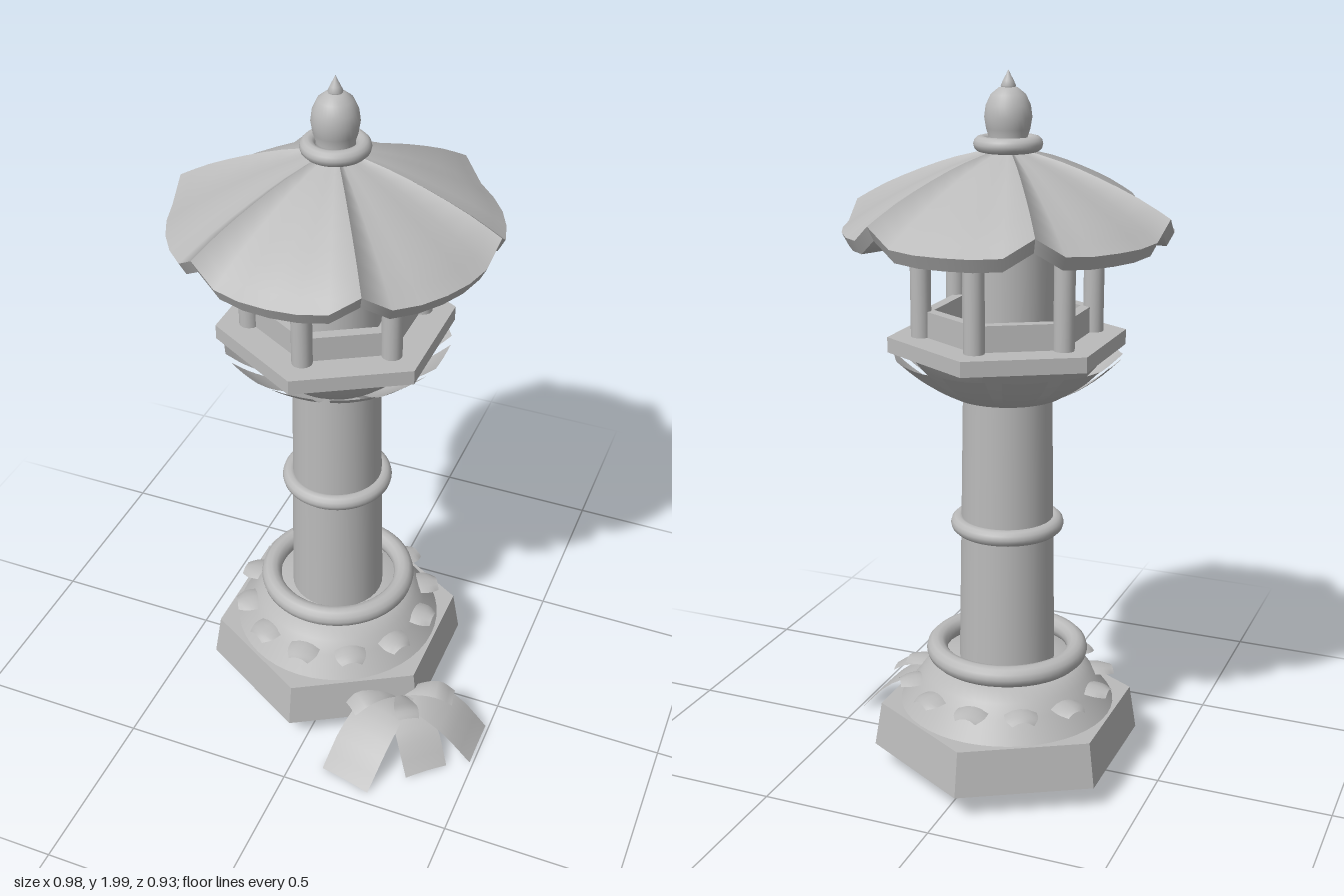
import * as THREE from 'three';
import { ParametricGeometry } from 'three/addons/geometries/ParametricGeometry.js';

const stone = new THREE.MeshStandardMaterial({ color: 0xbababa, side: THREE.DoubleSide });
stone.name = 'grey stone';

const v2 = (pts) => pts.map(([x, y]) => new THREE.Vector2(x, y));

function add(parent, name, geometry, x = 0, y = 0, z = 0) {
  const mesh = new THREE.Mesh(geometry, stone);
  mesh.name = name;
  mesh.position.set(x, y, z);
  parent.add(mesh);
  return mesh;
}

// Six-sided flat-faced prism with corners towards +z and -z
function hexPrism(parent, name, rTop, rBottom, y0, y1) {
  const geo = new THREE.CylinderGeometry(rTop, rBottom, y1 - y0, 6).toNonIndexed();
  geo.computeVertexNormals();
  return add(parent, name, geo, 0, (y0 + y1) / 2);
}

function ring(parent, name, outer, tube, y) {
  const geo = new THREE.TorusGeometry(outer - tube, tube, 12, 48).rotateX(Math.PI / 2);
  return add(parent, name, geo, 0, y);
}

// Thin blade running out along +x: path of [reach, height, half width], with a crosswise arch
function blade(path, arch) {
  const curve = new THREE.CatmullRomCurve3(path.map((p) => new THREE.Vector3(...p)));
  const p = new THREE.Vector3();
  return new ParametricGeometry((u, v, out) => {
    curve.getPoint(u, p);
    const s = 1 - 2 * v;
    out.set(p.x, p.y - arch * s * s, p.z * s);
  }, 8, 4);
}

// Roof: six smooth panels meeting at ridges, with small upturned corners
function addRoof(parent) {
  const roof = new THREE.Group();
  roof.name = 'roof';
  parent.add(roof);
  const ridge = new THREE.SplineCurve(v2([[0.447, 1.64], [0.36, 1.688], [0.25, 1.735], [0.15, 1.77], [0.05, 1.795]]));
  const place = (u, r, y, k, out) => {
    const t = Math.abs(2 * u - 1);
    const a = (k + u) * Math.PI / 3;
    const fall = 1 - t ** 6;
    const reach = r * (1 - 0.012 * fall);
    out.set(reach * Math.cos(a), y - 0.053 * (r / 0.447) * fall, -reach * Math.sin(a));
  };
  for (let k = 0; k < 6; k++) {
    add(roof, 'roofTop', new ParametricGeometry((u, v, out) => {
      const p = ridge.getPoint(v);
      place(u, p.x, p.y, k, out);
    }, 6, 8));
    add(roof, 'roofRim', new ParametricGeometry((u, v, out) => {
      place(u, 0.428 + 0.019 * v, 1.602 + 0.038 * v, k, out);
    }, 6, 1));
    // Shallow underside that the posts reach up to
    add(roof, 'roofUnderside', new ParametricGeometry((u, v, out) => {
      place(u, 0.01 + 0.418 * v, 1.58 + 0.022 * v, k, out);
    }, 6, 4));
  }
}

// Clump of curved leaves beside the base
function addPlant(parent) {
  const plant = new THREE.Group();
  plant.name = 'plant';
  plant.position.set(0.235, 0, 0.168);
  parent.add(plant);
  // Long drooping leaves: angle from +x towards +z, length, half width
  for (const [deg, len, w] of [[0, 0.255, 0.077], [47, 0.215, 0.065], [103, 0.285, 0.08], [218, 0.3, 0.07]]) {
    const leaf = add(plant, 'longLeaf', blade([
      [0, 0.135, 0.02], [len * 0.3, 0.145, w * 0.85], [len * 0.65, 0.105, w], [len, 0.015, w],
    ], 0.004));
    leaf.rotation.y = -deg * Math.PI / 180;
  }
  // Short leaves spreading above them
  for (let i = 0; i < 5; i++) {
    const leaf = add(plant, 'shortLeaf', blade([
      [0, 0.13, 0.01], [0.06, 0.165, 0.025], [0.12, 0.175 + 0.02 * (i % 2), 0.035], [0.165, 0.15 + 0.05 * (i % 2), 0.03],
    ], 0.004));
    leaf.rotation.y = (10 - i * 70) * Math.PI / 180;
  }
}

export function createModel() {
  const model = new THREE.Group();
  model.name = 'stoneLantern';
  const lantern = new THREE.Group();
  lantern.name = 'lantern';
  lantern.position.set(-0.043, 0, -0.028);
  model.add(lantern);

  // Base, mound and column
  hexPrism(lantern, 'base', 0.367, 0.388, 0.08, 0.21);
  add(lantern, 'mound', new THREE.LatheGeometry(
    v2([[0.312, 0.205], [0.29, 0.235], [0.265, 0.27], [0.24, 0.305], [0.205, 0.335], [0.13, 0.345]]), 48));
  ring(lantern, 'baseRing', 0.232, 0.03, 0.37);
  add(lantern, 'column', new THREE.CylinderGeometry(0.123, 0.137, 0.81, 32), 0, 0.735);
  ring(lantern, 'columnRing', 0.159, 0.023, 0.755);

  // Lotus petals around the mound and under the platform
  add(lantern, 'bowl', new THREE.LatheGeometry(
    v2([[0.1, 1.135], [0.158, 1.135], [0.2, 1.172], [0.24, 1.214], [0.275, 1.26]]), 48));
  for (let i = 0; i < 12; i++) {
    const a = i * Math.PI / 6;
    const low = add(lantern, 'basePetal', blade(
      [[0.2, 0.285, 0.035], [0.25, 0.293, 0.045], [0.285, 0.29, 0.045], [0.312, 0.284, 0.03]], 0.012));
    low.rotation.y = a;
    const high = add(lantern, 'bowlPetal', blade(
      [[0.16, 1.136, 0.033], [0.21, 1.163, 0.043], [0.262, 1.2, 0.053], [0.308, 1.242, 0.06]], -0.004));
    high.rotation.y = a;
  }

  // Lamp house: platform, round core, posts and low wall panels
  hexPrism(lantern, 'platform', 0.328, 0.328, 1.258, 1.3);
  add(lantern, 'lampCore', new THREE.CylinderGeometry(0.124, 0.124, 0.29, 32), 0, 1.435);
  for (let i = 0; i < 6; i++) {
    const a = i * Math.PI / 3;
    add(lantern, 'post', new THREE.CylinderGeometry(0.028, 0.028, 0.27, 16),
      0.236 * Math.sin(a), 1.425, 0.236 * Math.cos(a));
    const b = a + Math.PI / 6;
    const panel = add(lantern, 'wallPanel', new THREE.BoxGeometry(0.225, 0.072, 0.03),
      0.188 * Math.sin(b), 1.335, 0.188 * Math.cos(b));
    panel.rotation.y = b;
  }

  addRoof(lantern);

  // Finial
  ring(lantern, 'finialRing', 0.092, 0.021, 1.811);
  add(lantern, 'finialBulb', new THREE.LatheGeometry(
    v2([[0.001, 1.8], [0.055, 1.8], [0.05, 1.825], [0.058, 1.85], [0.063, 1.88], [0.059, 1.91], [0.046, 1.938], [0.025, 1.955], [0.001, 1.96]]), 32));
  add(lantern, 'finialTip', new THREE.LatheGeometry(
    v2([[0.001, 1.945], [0.016, 1.95], [0.02, 1.96], [0.014, 1.973], [0.006, 1.988], [0.0005, 2]]), 16));

  addPlant(model);
  return model;
}
